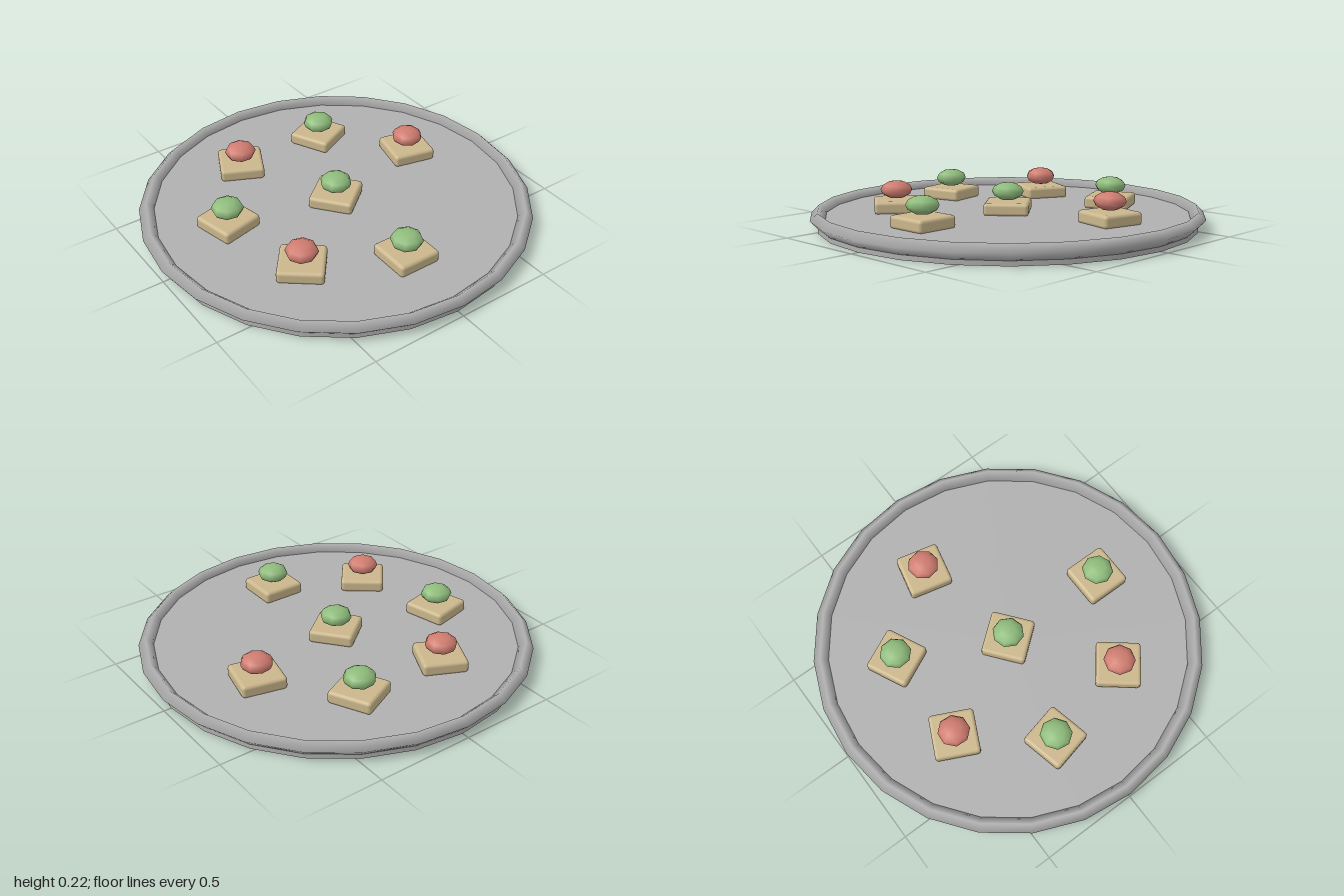
import * as THREE from 'three';
import { RoundedBoxGeometry } from 'three/addons/geometries/RoundedBoxGeometry.js';

const flat = (name, color) => {
  const m = new THREE.MeshStandardMaterial({ color });
  m.name = name;
  return m;
};

export function createModel() {
  const metal = flat('grey metal', 0xb0b0b0);
  const cracker = flat('tan cracker', 0xcbb78c);
  const green = flat('soft green', 0x8fbc7c);
  const red = flat('soft red', 0xd07c70);

  const tray = new THREE.Group();
  tray.name = 'snackTray';
  const add = (parent, name, geometry, material, y) => {
    const mesh = new THREE.Mesh(geometry, material);
    mesh.name = name;
    mesh.position.y = y;
    parent.add(mesh);
    return mesh;
  };

  // Round plate with a raised diamond-section rim
  add(tray, 'plate', new THREE.CylinderGeometry(0.962, 0.962, 0.06, 24), metal, 0.03);
  add(tray, 'rim', new THREE.TorusGeometry(0.962, 0.038, 4, 24).rotateX(Math.PI / 2), metal, 0.062);

  // Snacks: six around the plate in sevenths of a turn, the last in the middle
  const base = new RoundedBoxGeometry(0.228, 0.066, 0.228, 2, 0.018);
  const topping = new THREE.SphereGeometry(0.081, 8, 6).scale(1, 0.57, 1);
  for (let i = 0; i < 7; i++) {
    const angle = (i / 7) * Math.PI * 2;
    const radius = i < 6 ? 0.576 : 0;
    const snack = new THREE.Group();
    snack.name = 'snack' + (i + 1);
    snack.position.set(Math.cos(angle) * radius, 0, Math.sin(angle) * radius);
    snack.rotation.y = angle;
    add(snack, 'crackerBase', base, cracker, 0.088);
    add(snack, 'topping', topping, i % 2 ? red : green, 0.169);
    tray.add(snack);
  }
  return tray;
}
